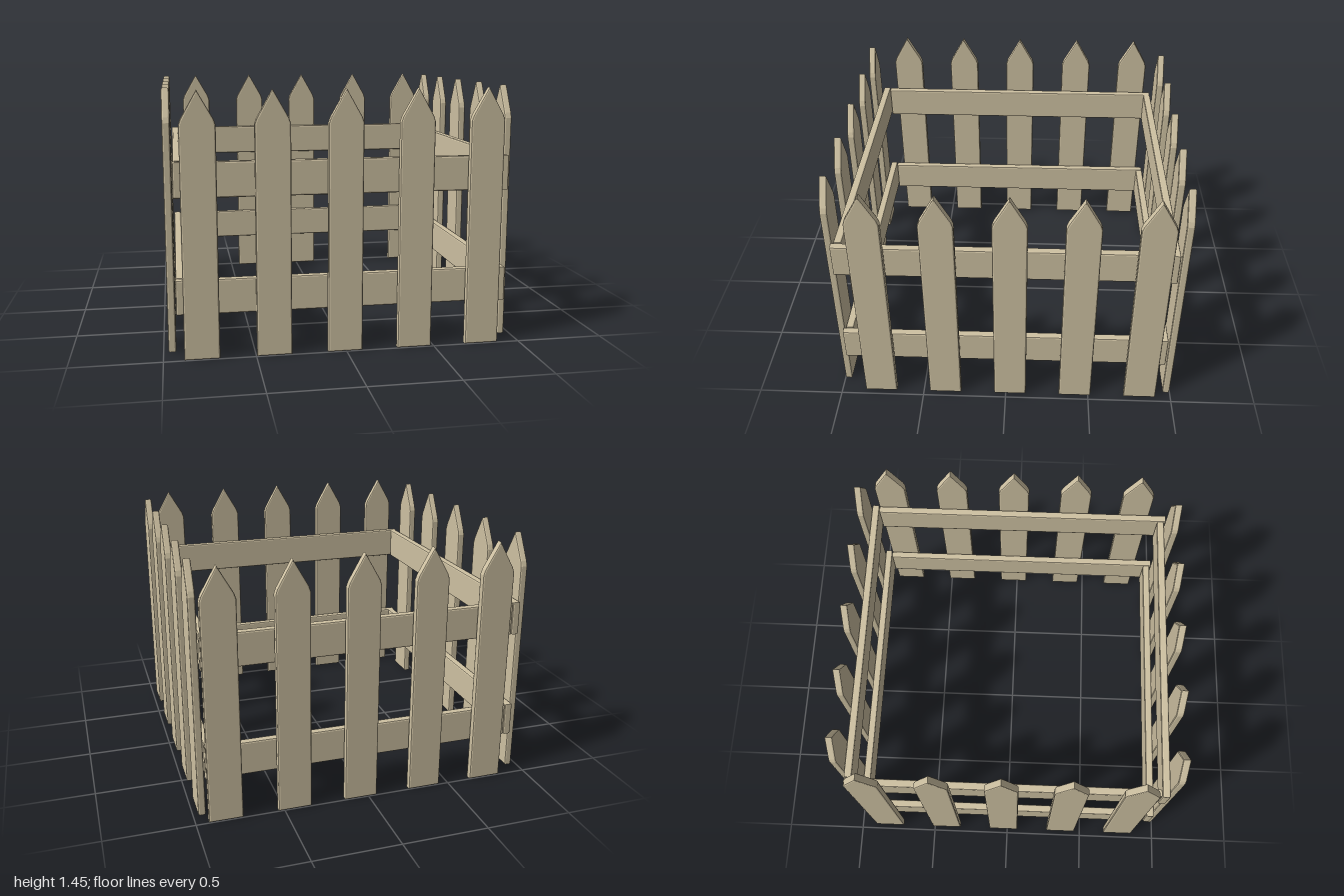
import * as THREE from 'three';

const BEVEL = 0.009;

// Board cut from an outline, with chamfered edges; its back sits at z = 0.
function board(points, thickness) {
  const shape = new THREE.Shape(points.map(([x, y]) => new THREE.Vector2(x, y)));
  const geometry = new THREE.ExtrudeGeometry(shape, {
    depth: thickness - 2 * BEVEL,
    bevelEnabled: true,
    bevelThickness: BEVEL,
    bevelSize: BEVEL,
    bevelOffset: -BEVEL,
    bevelSegments: 2,
  });
  return geometry.translate(0, 0, BEVEL);
}

export function createModel() {
  const wood = new THREE.MeshStandardMaterial({ color: 0xcfc2a3 });
  wood.name = 'pale wood';

  const fence = new THREE.Group();
  fence.name = 'picketFence';

  // Pointed picket shared by all four sides
  const picketThickness = 0.043;
  const picketGeometry = board([
    [-0.096, 0], [0.096, 0], [0.096, 1.265], [0.086, 1.295],
    [0, 1.446], [-0.086, 1.295], [-0.096, 1.265],
  ], picketThickness);

  // Each side is laid out facing +z, then turned into place
  const sides = [
    { name: 'frontSide', turn: 0, outer: 1.0, middle: -0.006, rail: [-0.925, 0.873] },
    { name: 'leftSide', turn: Math.PI / 2, outer: 0.971, middle: 0.026, rail: [-0.962, 0.902] },
    { name: 'backSide', turn: Math.PI, outer: 1.0, middle: -0.045, rail: [-0.927, 0.875] },
    { name: 'rightSide', turn: -Math.PI / 2, outer: 0.973, middle: -0.026, rail: [-0.948, 0.9] },
  ];

  for (const { name, turn, outer, middle, rail } of sides) {
    const side = new THREE.Group();
    side.name = name;
    side.rotation.y = turn;

    // Five evenly spaced pickets
    for (let i = -2; i <= 2; i++) {
      const picket = new THREE.Mesh(picketGeometry, wood);
      picket.name = 'picket';
      picket.position.set(middle + i * 0.393, 0, outer - picketThickness);
      side.add(picket);
    }

    // Two horizontal rails behind the pickets
    const [x0, x1] = rail;
    const railGeometry = board([[x0, 0], [x1, 0], [x1, 0.194], [x0, 0.194]], 0.046);
    for (const [railName, y] of [['lowerRail', 0.237], ['upperRail', 0.875]]) {
      const mesh = new THREE.Mesh(railGeometry, wood);
      mesh.name = railName;
      mesh.position.set(0, y, outer - 0.095);
      side.add(mesh);
    }
    fence.add(side);
  }
  return fence;
}
